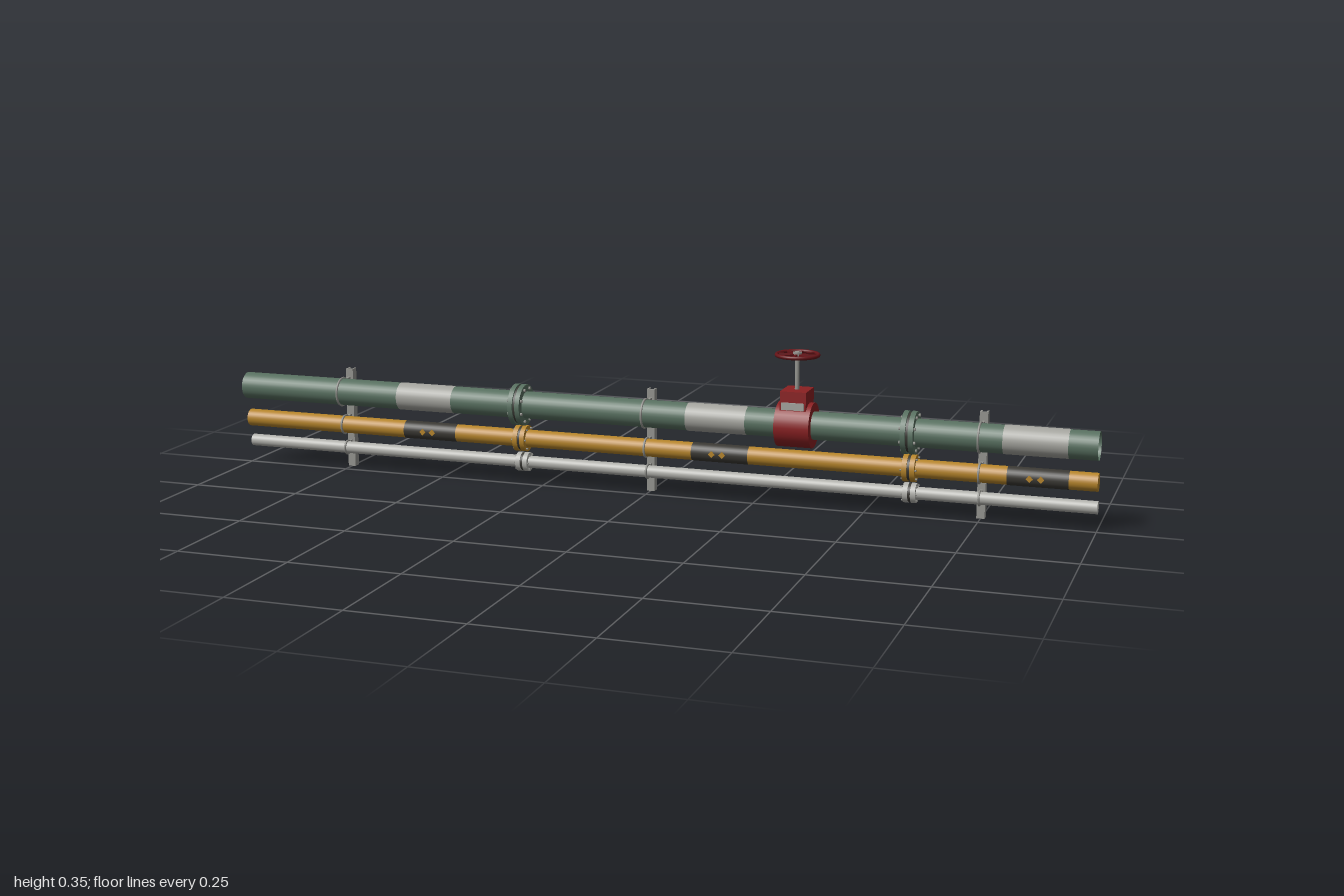
import * as THREE from 'three';

const mat = (name, color, side = THREE.FrontSide) => {
  const m = new THREE.MeshStandardMaterial({ color, side });
  m.name = name;
  return m;
};

export function createModel() {
  const green = mat('pipeGreen', 0x587060, THREE.DoubleSide);
  const yellow = mat('pipeYellow', 0xb5842a);
  const pale = mat('conduitGrey', 0xb0b0ab);
  const band = mat('bandGrey', 0xa3a39d);
  const steel = mat('steel', 0x94948f);
  const dark = mat('darkBand', 0x3a3833);
  const red = mat('valveRed', 0x8a2022);
  const wheelRed = mat('wheelRed', 0x661418);

  const root = new THREE.Group();
  root.name = 'pipeRun';
  const add = (parent, name, geo, material, x = 0, y = 0, z = 0) => {
    const m = new THREE.Mesh(geo, material);
    m.name = name;
    m.position.set(x, y, z);
    parent.add(m);
    return m;
  };
  const group = (name, x, y, z) => {
    const g = new THREE.Group();
    g.name = name;
    g.position.set(x, y, z);
    root.add(g);
    return g;
  };
  const box = (w, h, d) => new THREE.BoxGeometry(w, h, d);
  // cylinder lying along x
  const rod = (r, len, seg = 28, open = false) =>
    new THREE.CylinderGeometry(r, r, len, seg, 1, open).rotateZ(-Math.PI / 2);

  const pipes = [
    { name: 'mainPipe', y: 0.187, z: 0.003, r: 0.031, fr: 0.047, bolts: 8, m: green, open: true },
    { name: 'gasPipe', y: 0.107, z: -0.006, r: 0.02, fr: 0.03, bolts: 6, m: yellow, open: false },
    { name: 'conduit', y: 0.05, z: -0.0145, r: 0.014, fr: 0.022, bolts: 6, m: pale, open: false },
  ];
  const bandX = [-0.53, 0.17, 0.87];
  const flangeX = [-0.3, 0.6];
  const postX = [-0.75, 0, 0.75];

  for (const p of pipes) {
    const g = group(p.name, 0, p.y, p.z);
    add(g, p.name + 'Tube', rod(p.r, 2, 32, p.open), p.m);

    // bolted flange pairs
    for (const x of flangeX) {
      for (const s of [-1, 1]) {
        add(g, p.name + 'Flange', rod(p.fr, 0.011, 32), p.m, x + s * 0.0085);
      }
      add(g, p.name + 'Gasket', rod(p.fr * 0.92, 0.006, 32), dark, x);
      for (let i = 0; i < p.bolts; i++) {
        const a = ((i + 0.5) / p.bolts) * Math.PI * 2;
        const br = (p.r + p.fr) / 2;
        add(g, p.name + 'Bolt', rod((p.fr - p.r) * 0.22, 0.036, 6), steel,
          x, Math.cos(a) * br, Math.sin(a) * br);
      }
    }

    // U-clamps and their feet on each post
    for (const x of postX) {
      add(g, p.name + 'Clamp', new THREE.TorusGeometry(p.r + 0.0015, 0.0025, 6, 32)
        .rotateY(Math.PI / 2), steel, x);
      const back = -0.034 - p.z;
      for (const s of [-1, 1]) {
        const depth = Math.max(0.008, -back * 0.5);
        add(g, p.name + 'ClampFoot', box(0.006, 0.005, depth), steel,
          x, s * p.r * 0.85, back + depth / 2);
      }
    }
  }

  // painted bands
  for (const x of bandX) {
    const [main, gas] = pipes;
    add(root, 'greyBand', rod(main.r + 0.0006, 0.137, 32, true), band, x, main.y, main.z);
    add(root, 'darkBand', rod(gas.r + 0.0006, 0.13, 32, true), dark, x + 0.005, gas.y, gas.z);
    // small diamond marks, front and back
    for (const s of [-1, 1]) for (const dx of [-0.012, 0.012]) {
      const mark = add(root, 'flowMark', box(0.011, 0.011, 0.002), yellow,
        x + dx, gas.y, gas.z + s * (gas.r + 0.0005));
      mark.rotation.z = Math.PI / 4;
    }
  }

  // channel posts, open at the back
  for (const x of postX) {
    const g = group('wallPost', x, 0.1175, 0);
    add(g, 'postWeb', box(0.018, 0.235, 0.004), steel, 0, 0, -0.035);
    for (const s of [-1, 1]) {
      add(g, 'postSide', box(0.004, 0.235, 0.014), steel, s * 0.007, 0, -0.044);
    }
    add(g, 'postSlot', box(0.01, 0.234, 0.002), dark, 0, 0, -0.038);
  }

  // gate valve
  const v = group('valve', 0.348, 0, 0.003);
  add(v, 'valveBody', rod(0.05, 0.078, 32), red, 0, 0.187, 0);
  add(v, 'valveBonnet', new THREE.BoxGeometry(0.058, 0.07, 0.069), red, 0, 0.23, 0);
  add(v, 'namePlate', box(0.05, 0.016, 0.004), band, 0, 0.233, 0.0365);
  add(v, 'valveStem', new THREE.CylinderGeometry(0.005, 0.005, 0.084, 16), steel, 0, 0.306, 0);
  add(v, 'wheelHub', new THREE.CylinderGeometry(0.01, 0.01, 0.012, 16), steel, 0, 0.341, 0);
  add(v, 'handWheel', new THREE.TorusGeometry(0.0455, 0.0042, 10, 40)
    .rotateX(Math.PI / 2), wheelRed, 0, 0.341, 0);
  for (let i = 0; i < 8; i++) {
    const a = (i / 8) * Math.PI * 2;
    const spoke = add(v, 'wheelSpoke', box(0.038, 0.004, 0.005), wheelRed,
      Math.cos(a) * 0.026, 0.341, -Math.sin(a) * 0.026);
    spoke.rotation.y = a;
  }
  return root;
}
